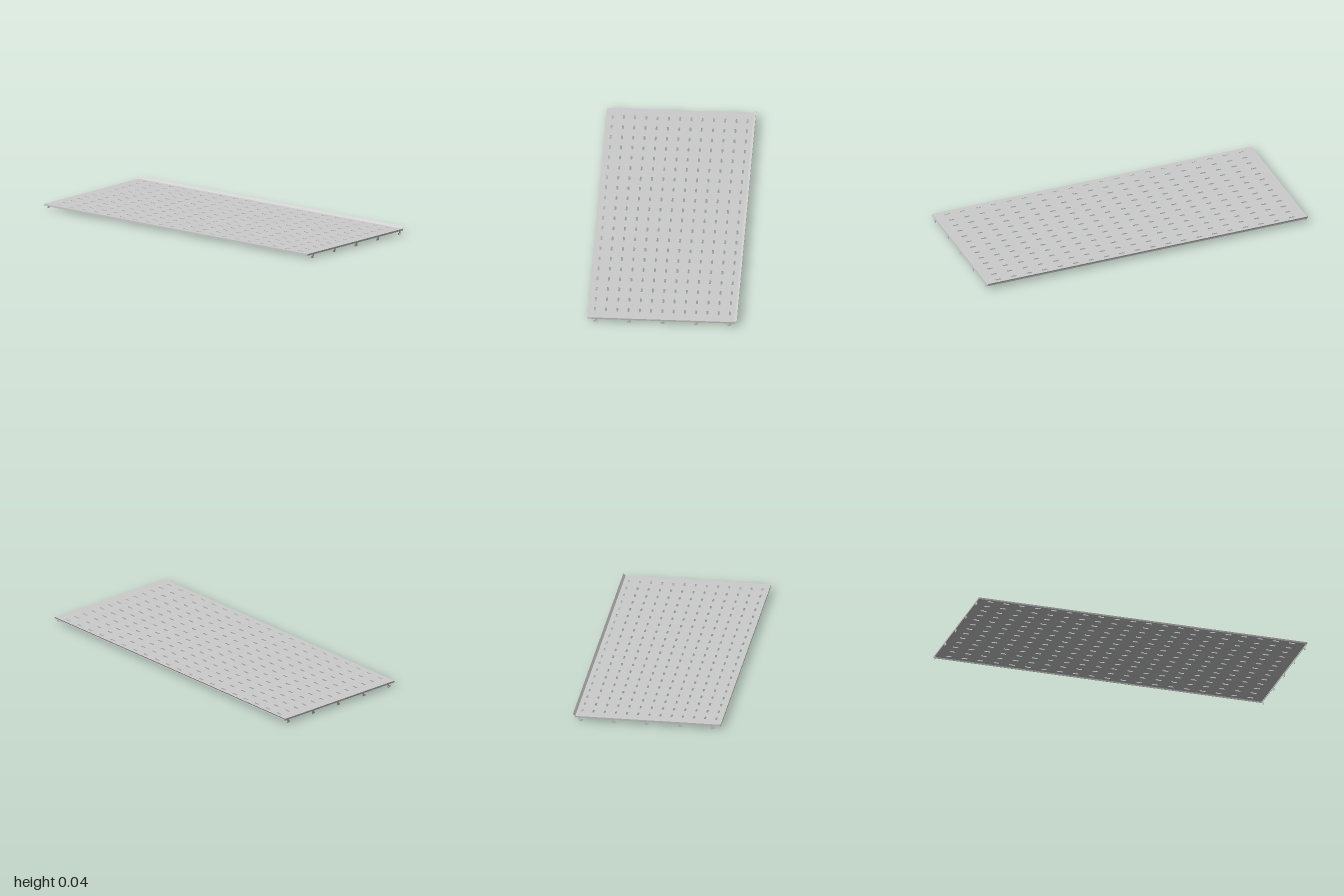
import * as THREE from 'three';

const T = 0.002;                       // sheet thickness
const TOP = 0.029, SKIRT = 0.019;      // deck surface and lower edge of the folded skirt
const FRONT = 0.433, BACK = -0.42;     // deck extent in z
const material = new THREE.MeshStandardMaterial({ color: 0xcccccc, side: THREE.DoubleSide });

function add(parent, name, geometry, x = 0, y = 0, z = 0) {
  const mesh = new THREE.Mesh(geometry, material);
  mesh.name = name;
  mesh.position.set(x, y, z);
  parent.add(mesh);
  return mesh;
}

// Rounded slot outline, long in x
function slot(cx, cy, length, width) {
  const r = width / 2, h = length / 2 - r;
  const path = new THREE.Path();
  path.absarc(cx + h, cy, r, -Math.PI / 2, Math.PI / 2, false);
  path.absarc(cx - h, cy, r, Math.PI / 2, Math.PI * 1.5, false);
  path.closePath();
  return path;
}

// Perforated deck, drawn in x and -z and laid flat
function deckGeometry() {
  const shape = new THREE.Shape([
    new THREE.Vector2(-1, -FRONT), new THREE.Vector2(1, -FRONT),
    new THREE.Vector2(1, -BACK), new THREE.Vector2(-1, -BACK),
  ]);
  for (let row = 0; row < 13; row++) {
    for (let col = 0; col < 20; col++) {
      const x = (col - 9.5) * 0.0966;
      const z = 0.004 + (row - 6) * 0.0653;
      shape.holes.push(slot(x, -z, 0.036, 0.011));
    }
  }
  return new THREE.ExtrudeGeometry(shape, { depth: T, bevelEnabled: false, curveSegments: 4 })
    .rotateX(-Math.PI / 2);
}

// Hook plate: a stem with a toe pointing forward, drawn in z and y
function hookGeometry(holed) {
  const shape = new THREE.Shape();
  shape.moveTo(-0.012, 0);
  shape.lineTo(0.008, 0);
  shape.quadraticCurveTo(0.011, 0, 0.011, 0.003);
  shape.lineTo(0.011, 0.011);
  shape.lineTo(0.002, 0.011);
  shape.lineTo(0.002, 0.021);
  shape.lineTo(-0.012, 0.021);
  shape.closePath();
  if (holed) {
    const hole = new THREE.Path();
    hole.absarc(-0.006, 0.007, 0.0035, 0, Math.PI * 2, true);
    shape.holes.push(hole);
  }
  return new THREE.ExtrudeGeometry(shape, { depth: T, bevelEnabled: false, curveSegments: 6 })
    .translate(0, 0, -T / 2)
    .rotateY(-Math.PI / 2);
}

// Raised back lip: a strip folded up and outward at 45 degrees
function lipGeometry() {
  const t = T * 0.6;
  const shape = new THREE.Shape([
    new THREE.Vector2(BACK, TOP - t), new THREE.Vector2(BACK + t, TOP),
    new THREE.Vector2(-0.433 + t, 0.042), new THREE.Vector2(-0.433, 0.042 - t),
  ]);
  return new THREE.ExtrudeGeometry(shape, { depth: 2, bevelEnabled: false })
    .translate(0, 0, -1)
    .rotateY(-Math.PI / 2);
}

export function createModel() {
  const model = new THREE.Group();
  model.name = 'perforatedShelf';

  add(model, 'deck', deckGeometry(), 0, TOP - T, 0);
  add(model, 'backLip', lipGeometry());

  // Folded skirt around the underside
  const height = TOP - SKIRT, midY = (TOP + SKIRT) / 2;
  const long = new THREE.BoxGeometry(2, height, T);
  const short = new THREE.BoxGeometry(T, height, FRONT - BACK);
  add(model, 'frontSkirt', long, 0, midY, FRONT - T / 2);
  add(model, 'backSkirt', long, 0, midY, BACK + T / 2);

  // Side skirts with five hooks each; the end hooks are drilled
  const plainHook = hookGeometry(false), drilledHook = hookGeometry(true);
  for (const [side, name] of [[1, 'left'], [-1, 'right']]) {
    const x = side * (1 - T / 2);
    add(model, name + 'Skirt', short, x, midY, (FRONT + BACK) / 2);
    for (let i = -2; i <= 2; i++) {
      const hook = Math.abs(i) === 2 ? drilledHook : plainHook;
      add(model, name + 'Hook', hook, x, 0, i * 0.1943);
    }
  }
  return model;
}
